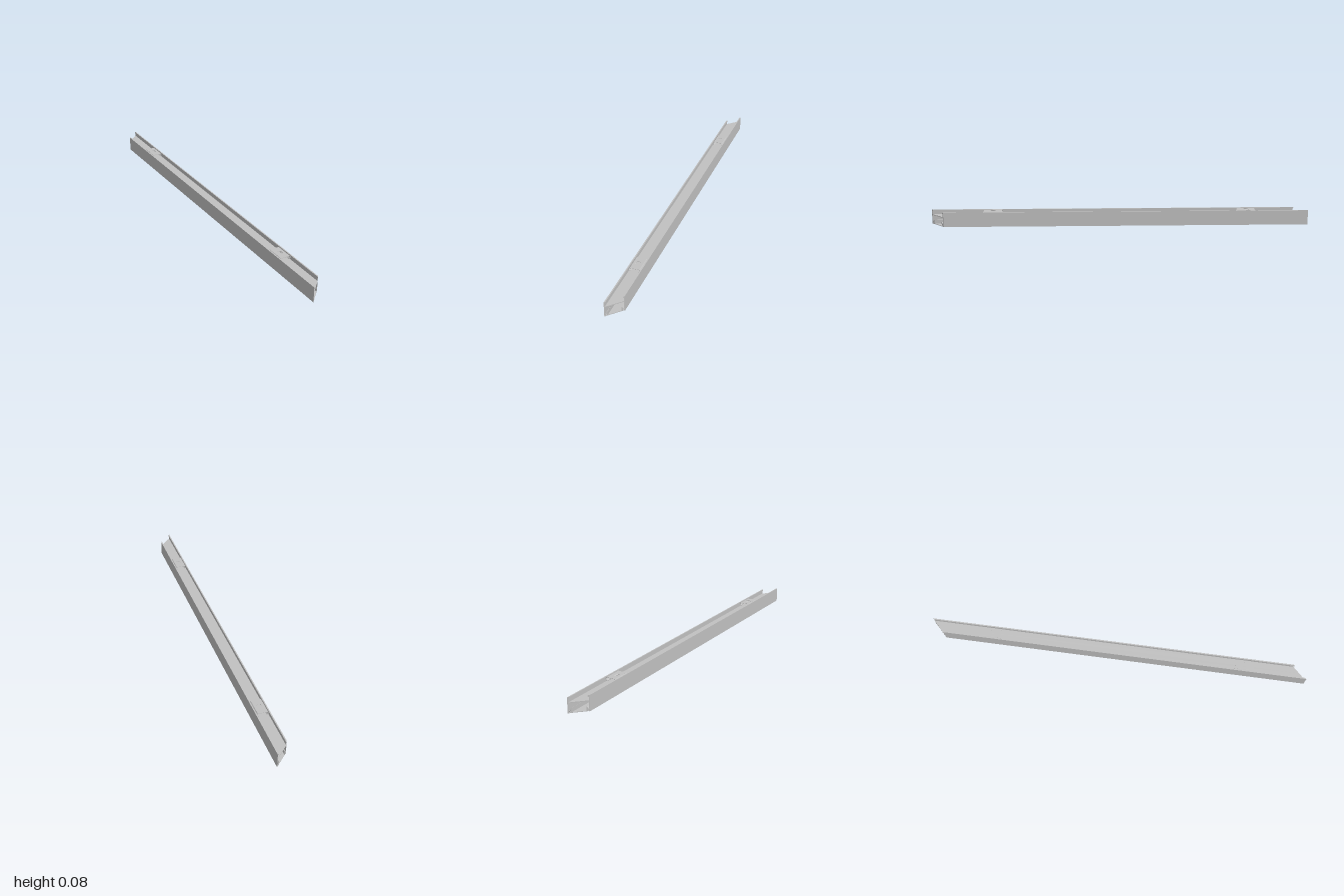
import * as THREE from 'three';
import { toCreasedNormals } from 'three/addons/utils/BufferGeometryUtils.js';

const HALF = 0.965;      // half length on the centre line
const CLIP_LENGTH = 0.095;

const aluminium = new THREE.MeshStandardMaterial({ color: 0xc0c0c0 });
aluminium.name = 'aluminium grey';

// Closed symmetric outline from its right half (listed from centre to centre)
function mirroredShape(half) {
  const left = half.filter(([x]) => x > 0).map(([x, y]) => [-x, y]).reverse();
  return new THREE.Shape([...half, ...left].map(([x, y]) => new THREE.Vector2(x, y)));
}

// Extrude a section along z, centred
function extrude(shape, length, curveSegments = 12) {
  const g = new THREE.ExtrudeGeometry(shape, { depth: length, bevelEnabled: false, curveSegments });
  return g.translate(0, 0, -length / 2);
}

// Full-length bar whose ends are mitred at 45 degrees (z shifts by -x)
function mitredBar(shape) {
  const g = extrude(shape, HALF * 2);
  const p = g.attributes.position;
  for (let i = 0; i < p.count; i++) p.setZ(i, p.getZ(i) - p.getX(i));
  g.computeVertexNormals();
  return g;
}

function addMesh(parent, name, geometry) {
  const mesh = new THREE.Mesh(geometry, aluminium);
  mesh.name = name;
  parent.add(mesh);
  return mesh;
}

// Curled spring arm on one side of a clip, a thin strip thickened inwards
function armGeometry(side) {
  const curve = new THREE.CatmullRomCurve3([
    [0.024, 0.077], [0.0275, 0.0745], [0.029, 0.069], [0.0265, 0.0635], [0.02, 0.0595],
  ].map(([x, y]) => new THREE.Vector3(x, y, 0)));
  const outer = [], inner = [];
  for (let i = 0; i <= 14; i++) {
    const p = curve.getPoint(i / 14), t = curve.getTangent(i / 14);
    outer.push(new THREE.Vector2(side * p.x, p.y));
    inner.unshift(new THREE.Vector2(side * (p.x + t.y * 0.0015), p.y - t.x * 0.0015));
  }
  return toCreasedNormals(extrude(new THREE.Shape([...outer, ...inner]), CLIP_LENGTH), 0.7);
}

// Mounting clip: flat plate with a screw hole and two curled arms
function makeClip(name, z) {
  const clip = new THREE.Group();
  clip.name = name;
  const h = CLIP_LENGTH / 2;
  const plate = new THREE.Shape([[-0.0242, -h], [0.0242, -h], [0.0242, h], [-0.0242, h]]
    .map(([x, y]) => new THREE.Vector2(x, y)));
  const hole = new THREE.Path();
  hole.absarc(0, 0, 0.014, 0, Math.PI * 2, true);
  plate.holes.push(hole);
  const plateGeometry = extrude(plate, 0.0015, 24).rotateX(-Math.PI / 2).translate(0, 0.0763, 0);
  addMesh(clip, 'clipPlate', toCreasedNormals(plateGeometry, 0.7));
  addMesh(clip, 'clipArmLeft', armGeometry(1));
  addMesh(clip, 'clipArmRight', armGeometry(-1));
  clip.position.z = z;
  return clip;
}

export function createModel() {
  const model = new THREE.Group();
  model.name = 'mitredChannel';

  // H-shaped channel with top lips, a middle web and latching ridges below
  const channel = mirroredShape([
    [0, 0.0495], [0.0325, 0.0495], [0.0325, 0.012], [0.0285, 0.012], [0.0325, 0.006],
    [0.0325, 0.004], [0.031, 0.003], [0.031, 0], [0.0355, 0], [0.0355, 0.078],
    [0.0295, 0.078], [0.0295, 0.07], [0.0308, 0.07], [0.0308, 0.0745], [0.0325, 0.0745],
    [0.0325, 0.053], [0, 0.053],
  ]);
  addMesh(model, 'channelBody', mitredBar(channel));

  // Snap-in cover strip with barbed legs
  const cover = mirroredShape([
    [0, 0.001], [0.0305, 0.001], [0.0305, 0.004], [0.027, 0.004], [0.027, 0.013],
    [0.031, 0.013], [0.0245, 0.024], [0.0235, 0.024], [0.0235, 0.004], [0, 0.004],
  ]);
  addMesh(model, 'coverStrip', mitredBar(cover));

  // Clips near both ends
  model.add(makeClip('frontClip', 0.673), makeClip('backClip', -0.673));
  return model;
}
